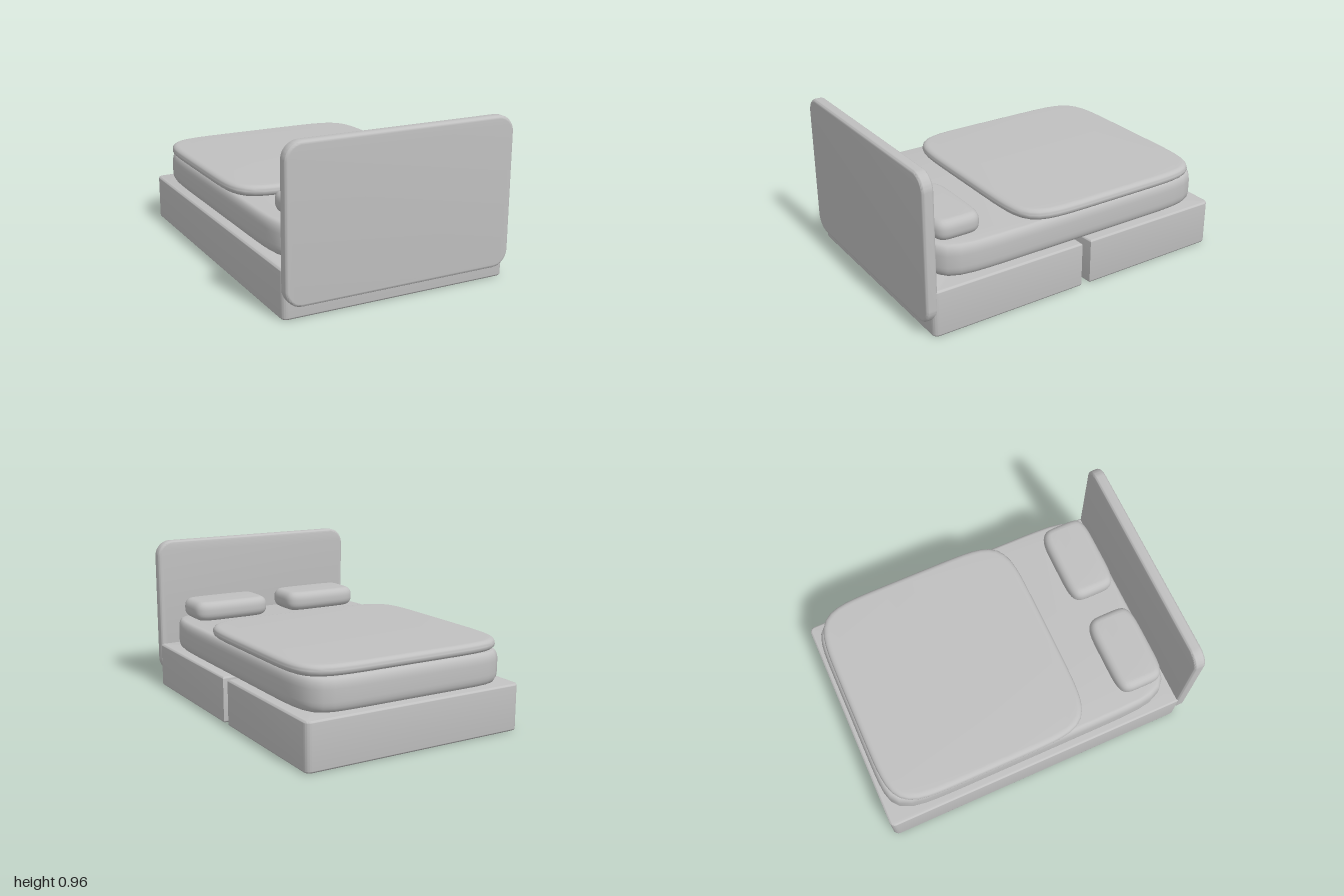
import * as THREE from 'three';
import { toCreasedNormals } from 'three/addons/utils/BufferGeometryUtils.js';

const grey = new THREE.MeshStandardMaterial({ color: 0xc0c0c0 });
grey.name = 'soft grey';

// Extrudes an outline to a total depth with rounded edges kept inside the outline.
function slab(shape, depth, bevelSize, bevelThickness = bevelSize) {
  const geometry = new THREE.ExtrudeGeometry(shape, {
    depth: depth - 2 * bevelThickness,
    bevelEnabled: true, bevelSize, bevelThickness,
    bevelOffset: -bevelSize, bevelSegments: 5, curveSegments: 10,
  });
  geometry.translate(0, 0, bevelThickness);
  return toCreasedNormals(geometry, 0.7);
}

// Lays a slab flat, so that outline y becomes z and its lowest face sits at y = bottom.
function layFlat(geometry, depth, bottom) {
  return geometry.rotateX(Math.PI / 2).translate(0, bottom + depth, 0);
}

// Softly squared outline with bowed sides.
function softOutline(x, z, halfX, halfZ, power) {
  const points = [];
  for (let i = 0; i < 96; i++) {
    const a = (i / 96) * Math.PI * 2;
    const c = Math.cos(a), s = Math.sin(a);
    const r = (Math.abs(c) ** power + Math.abs(s) ** power) ** (-1 / power);
    points.push(new THREE.Vector2(x + halfX * r * c, z + halfZ * r * s));
  }
  return new THREE.Shape(points);
}

function roundedOutline(x0, x1, y0, y1, r) {
  const q = Math.PI / 2;
  const shape = new THREE.Shape();
  shape.absarc(x1 - r, y1 - r, r, 0, q);
  shape.absarc(x0 + r, y1 - r, r, q, 2 * q);
  shape.absarc(x0 + r, y0 + r, r, 2 * q, 3 * q);
  shape.absarc(x1 - r, y0 + r, r, 3 * q, 4 * q);
  return shape;
}

export function createModel() {
  const bed = new THREE.Group();
  bed.name = 'bed';

  const add = (name, geometry) => {
    const mesh = new THREE.Mesh(geometry, grey);
    mesh.name = name;
    bed.add(mesh);
  };
  const cushion = (name, [x, z, halfX, halfZ, power], bottom, height, size, thickness) =>
    add(name, layFlat(slab(softOutline(x, z, halfX, halfZ, power), height, size, thickness), height, bottom));

  // Base, with a tapering slot from its left side to a small square well in the middle
  const base = roundedOutline(-0.7, 0.7, -1, 0.96, 0.035);
  const slot = [[0.7, -0.08], [0.045, -0.028], [0.045, -0.035], [-0.045, -0.035],
    [-0.045, 0.035], [0.045, 0.035], [0.045, -0.018], [0.7, -0.02]];
  for (const [x, z] of slot) base.lineTo(x, z);
  base.closePath();
  add('base', layFlat(slab(base, 0.28, 0.012), 0.28, 0));

  // Upright headboard
  const board = slab(roundedOutline(-0.7, 0.7, 0.075, 0.96, 0.1), 0.07, 0.018);
  add('headboard', board.translate(0, 0, 0.93));

  // Bedding
  cushion('mattress', [0, -0.04, 0.665, 0.93, 9], 0.285, 0.19, 0.03, 0.06);
  cushion('blanket', [0, -0.3, 0.675, 0.65, 6.5], 0.47, 0.065, 0.035, 0.03);
  for (const [side, name] of [[1, 'leftPillow'], [-1, 'rightPillow']])
    cushion(name, [side * 0.33, 0.71, 0.253, 0.148, 5], 0.478, 0.122, 0.045, 0.05);

  return bed;
}
